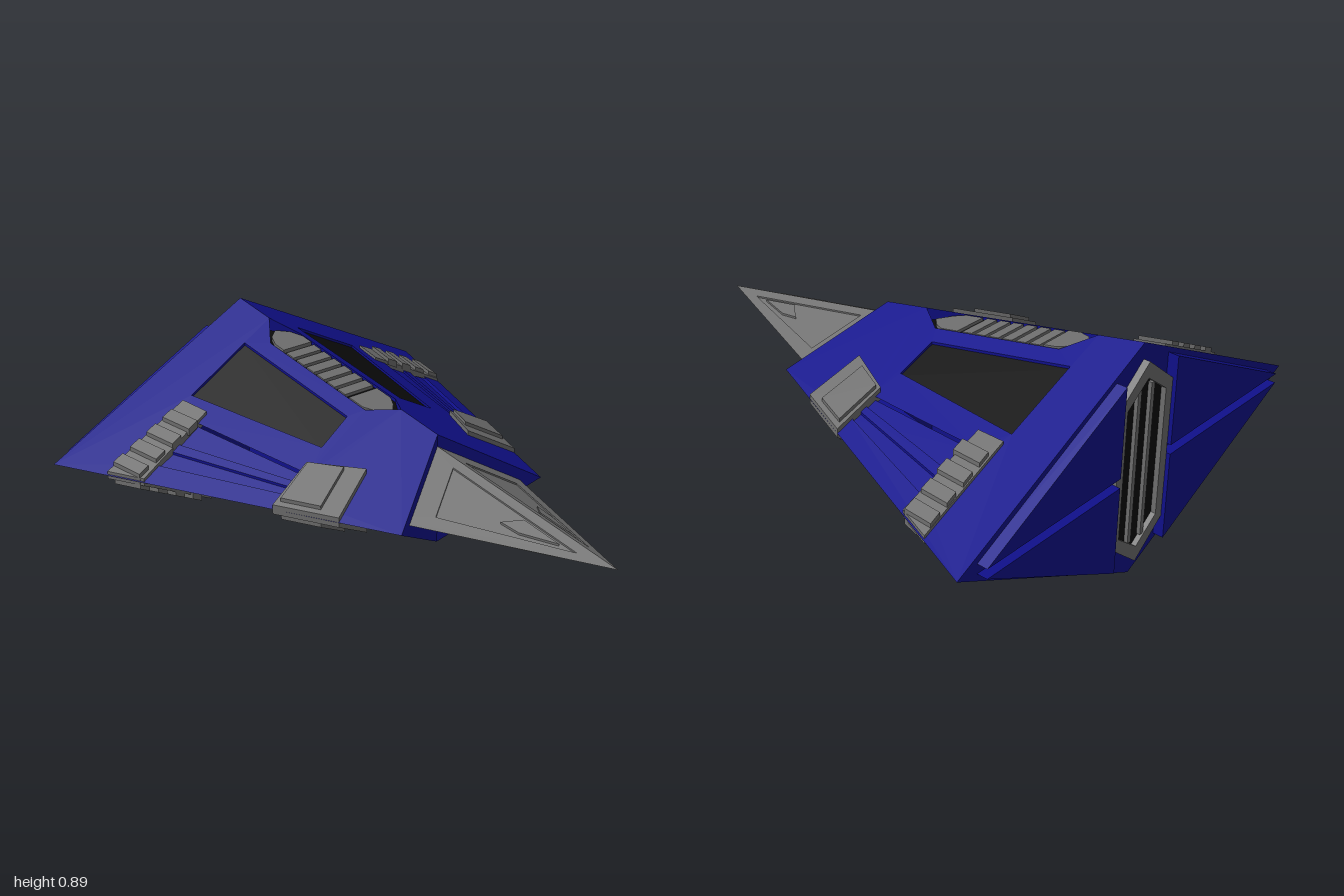
import * as THREE from 'three';

const CY = 0.445; // height of the mid plane
const mat = (color) => new THREE.MeshStandardMaterial({ color, flatShading: true });
const BLUE = mat(0x10108c), GREY = mat(0x707070), BLACK = mat(0x0b0b0b);

// Height of each surface above the mid plane, in one quadrant
const halfWidth = (z) => 0.4176 * (1.171 - z);
const hullH = (x, z) => (halfWidth(z) - x) / 2;
const noseH = (x, z) => (0.395 * (1 - z) - x) / 2;
const slotH = (x, z) => halfWidth(z) / 2 - 0.038;

const toShape = (pts, holes = []) => {
  const s = new THREE.Shape(pts.map((p) => new THREE.Vector2(...p)));
  s.holes = holes.map((h) => new THREE.Path(h.map((p) => new THREE.Vector2(...p))));
  return s;
};

export function createModel() {
  const model = new THREE.Group();

  // Slab with an (x, z) footprint following a sloping surface, for one quadrant
  function slab(name, pts, material, H, lo, hi, sx, sy, holes) {
    const geo = new THREE.ExtrudeGeometry(toShape(pts, holes), { depth: 1, bevelEnabled: false });
    const p = geo.attributes.position;
    for (let i = 0; i < p.count; i++) {
      const x = p.getX(i), z = p.getY(i), top = p.getZ(i) > 0.5;
      const y = Math.max(0, H(x, z) + (top ? hi : lo));
      p.setXYZ(i, sx * x, CY + sy * y, z);
    }
    if (sx * sy > 0) {
      for (let i = 0; i < p.count; i += 3) {
        const a = new THREE.Vector3().fromBufferAttribute(p, i);
        const b = new THREE.Vector3().fromBufferAttribute(p, i + 1);
        p.setXYZ(i, b.x, b.y, b.z);
        p.setXYZ(i + 1, a.x, a.y, a.z);
      }
    }
    geo.computeVertexNormals();
    const mesh = new THREE.Mesh(geo, material);
    mesh.name = name;
    model.add(mesh);
  }

  // Upright plate with an (x, y) outline, from z0 to z1
  function plate(name, pts, material, z0, z1, holes) {
    const geo = new THREE.ExtrudeGeometry(toShape(pts, holes), { depth: z1 - z0, bevelEnabled: false });
    const mesh = new THREE.Mesh(geo, material);
    mesh.position.set(0, CY, z0);
    mesh.name = name;
    model.add(mesh);
  }

  const windowPts = [[0.13, -0.77], [0.4, -0.755], [0.27, -0.155], [0.13, -0.175]];
  const trench = [[0.37, -0.11], [0.46, -0.09], [0.67, -0.63], [0.47, -0.66]];
  const hullPts = [[0, 0.16], [0.345, 0.345], [0.89, -0.96], [0, -0.96],
    [0, -0.78], [0.075, -0.68], [0.075, -0.14], [0, -0.03]];
  const nosePanel = [[0.03, 0.27], [0.2, 0.36], [0.03, 0.85]];

  for (const sx of [1, -1]) for (const sy of [1, -1]) {
    const add = (name, pts, m, H, lo, hi, holes) => slab(name, pts, m, H, lo, hi, sx, sy, holes);

    // Hull quarter with window, side trench and ridge slot cut out
    add('hull', hullPts, BLUE, hullH, -1, 0, [windowPts, trench]);
    add('windowPanel', windowPts, BLACK, hullH, -0.05, -0.01);
    add('sideTrench', trench, BLUE, hullH, -0.05, -0.014);
    add('trenchRail', [[0.41, -0.12], [0.435, -0.12], [0.595, -0.62], [0.56, -0.62]], BLUE, hullH, -0.03, -0.004);

    // Nose with sunken panels
    add('nose', [[0, 0.1], [0.355, 0.1], [0, 1]], GREY, noseH, -1, 0, [nosePanel]);
    add('nosePanel', nosePanel, GREY, noseH, -0.03, -0.006);
    add('noseFin', [[0.04, 0.62], [0.09, 0.56], [0.085, 0.64], [0.04, 0.78]], GREY, noseH, -0.02, 0.002);

    // Front pods, stepped
    add('frontPod', [[0.353, -0.14], [0.535, -0.11], [0.435, 0.127], [0.25, 0.063]], GREY, hullH, -0.03, 0.018);
    add('frontPodTop', [[0.36, -0.125], [0.51, -0.095], [0.45, 0.05], [0.3, 0.0]], GREY, hullH, 0, 0.032);

    // Rear pods with raised ribs
    add('rearPod', [[0.44, -0.755], [0.795, -0.745], [0.735, -0.6], [0.42, -0.635]], GREY, hullH, -0.03, 0.012);
    for (let i = 0; i < 4; i++) {
      const x = 0.5 + i * 0.075;
      add('rearPodRib', [[x, -0.745], [x + 0.042, -0.745], [x + 0.018, -0.615], [x - 0.024, -0.618]],
        GREY, hullH, 0, 0.028);
    }

    // Ridge vent: dark bed, grey end caps and slats
    add('ventBed', [[0, -0.78], [0.075, -0.68], [0.075, -0.14], [0, -0.03]], BLACK, slotH, -0.05, -0.012);
    add('ventRearCap', [[0, -0.745], [0.045, -0.71], [0.068, -0.66], [0.068, -0.61], [0, -0.61]], GREY, slotH, -0.03, 0.004);
    add('ventFrontCap', [[0, -0.075], [0.045, -0.12], [0.068, -0.16], [0.068, -0.235], [0, -0.235]], GREY, slotH, -0.03, 0);
    for (let i = 0; i < 6; i++) {
      const z = -0.595 + i * 0.059;
      add('ventSlat', [[0, z], [0.068, z], [0.068, z + 0.043], [0, z + 0.043]], GREY, slotH, -0.03, 0);
    }

    // Small fittings in the lower windows
    if (sy < 0) {
      for (const [x, z, l] of [[0.2, -0.27, 0.05], [0.21, -0.35, 0.05], [0.22, -0.46, 0.08], [0.27, -0.7, 0.1]]) {
        add('windowFitting', [[x - 0.025, z], [x + 0.035, z], [x + 0.02, z + l], [x - 0.01, z + l]],
          GREY, hullH, -0.03, -0.004);
      }
    }

    // Rear armour plates
    plate('rearPlate', [[0.14, 0.018], [0.8, 0.018], [0.14, 0.355]].map(([x, y]) => [sx * x, sy * y]), BLUE, -1, -0.95);
  }

  // Engine: hexagonal frame, dark inside and two upright bars
  const hex = (w, side, tip) => [[w, -side], [w, side], [0, tip], [-w, side], [-w, -side], [0, -tip]];
  plate('engineFrame', hex(0.14, 0.27, 0.385), GREY, -0.985, -0.94, [hex(0.105, 0.245, 0.325)]);
  plate('engineInside', hex(0.11, 0.25, 0.33), BLACK, -0.966, -0.94);
  for (const x of [-0.036, 0.036]) {
    plate('engineBar', [[x - 0.009, -0.295], [x + 0.009, -0.295], [x + 0.009, 0.295], [x - 0.009, 0.295]],
      GREY, -0.98, -0.95);
  }
  return model;
}
